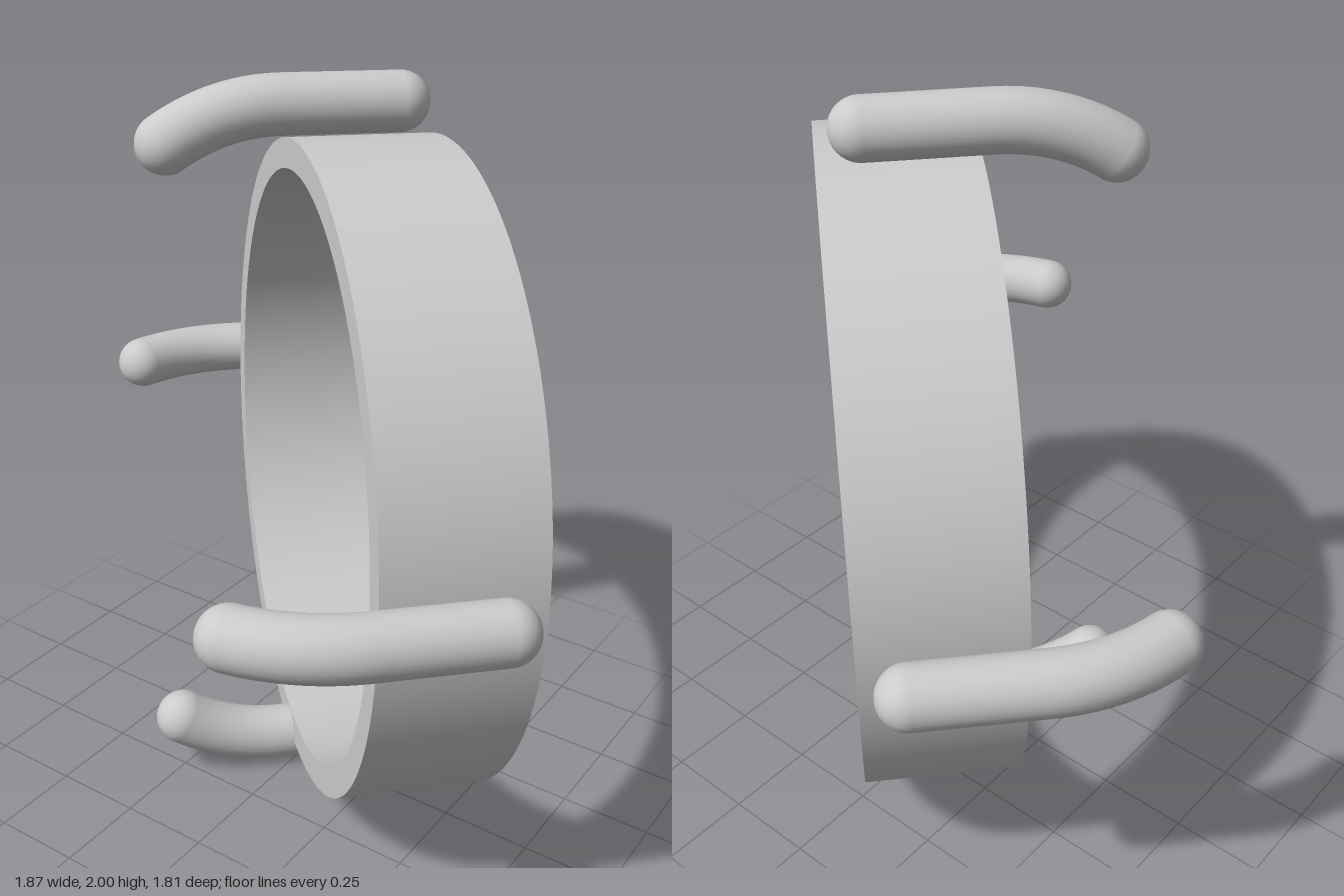
import * as THREE from 'three';
import { toCreasedNormals } from 'three/addons/utils/BufferGeometryUtils.js';

const RADIUS = 0.878, INNER = 0.8, DEPTH = 0.392;
const ROD = 0.077;

export function createModel() {
  const material = new THREE.MeshStandardMaterial({ color: 0xcccccc });
  const model = new THREE.Group();
  model.name = 'ringWithHooks';

  // Everything is built around the ring's own axis (z), then turned as one
  const assembly = new THREE.Group();
  assembly.name = 'assembly';
  assembly.rotation.set(-0.018, -0.75, 0, 'YXZ');
  assembly.position.set(0.131, 0.966, -0.1155);
  model.add(assembly);

  // Flat band with square edges
  const band = new THREE.Shape().absarc(0, 0, RADIUS, 0, Math.PI * 2, false);
  band.holes.push(new THREE.Path().absarc(0, 0, INNER, 0, Math.PI * 2, true));
  const bandGeometry = new THREE.ExtrudeGeometry(band, { depth: DEPTH, bevelEnabled: false, curveSegments: 96 });
  bandGeometry.translate(0, 0, -DEPTH / 2);
  const ring = new THREE.Mesh(toCreasedNormals(bandGeometry, 0.6), material);
  ring.name = 'ring';
  assembly.add(ring);

  // Round-ended rod: straight along z, tip curving inward (-y)
  const start = new THREE.Vector3(0, 0, -0.085);
  const bend = new THREE.Vector3(0, 0, 0.22);
  const tip = new THREE.Vector3(0, -0.09, 0.515);
  const path = new THREE.CurvePath();
  path.add(new THREE.LineCurve3(start, bend));
  path.add(new THREE.QuadraticBezierCurve3(bend, new THREE.Vector3(0, 0, 0.38), tip));
  const rodGeometry = new THREE.TubeGeometry(path, 40, ROD, 32, false);
  const capGeometry = new THREE.SphereGeometry(ROD, 32, 20);

  // Each hook: name, place on the ring, turn that aims its tip at the centre
  const hooks = [
    ['topHook', -0.118, 0.957, 0],
    ['rightHook', -0.955, -0.015, Math.PI / 2],
    ['bottomHook', -0.02, -0.883, Math.PI],
    ['leftHook', 0.92, 0.026, -Math.PI / 2],
  ];
  for (const [name, x, y, turn] of hooks) {
    const hook = new THREE.Group();
    hook.name = name;
    hook.position.set(x, y, 0);
    hook.rotation.z = turn;
    const rod = new THREE.Mesh(rodGeometry, material);
    rod.name = 'rod';
    hook.add(rod);
    for (const end of [start, tip]) {
      const cap = new THREE.Mesh(capGeometry, material);
      cap.name = 'roundEnd';
      cap.position.copy(end);
      hook.add(cap);
    }
    assembly.add(hook);
  }
  return model;
}
